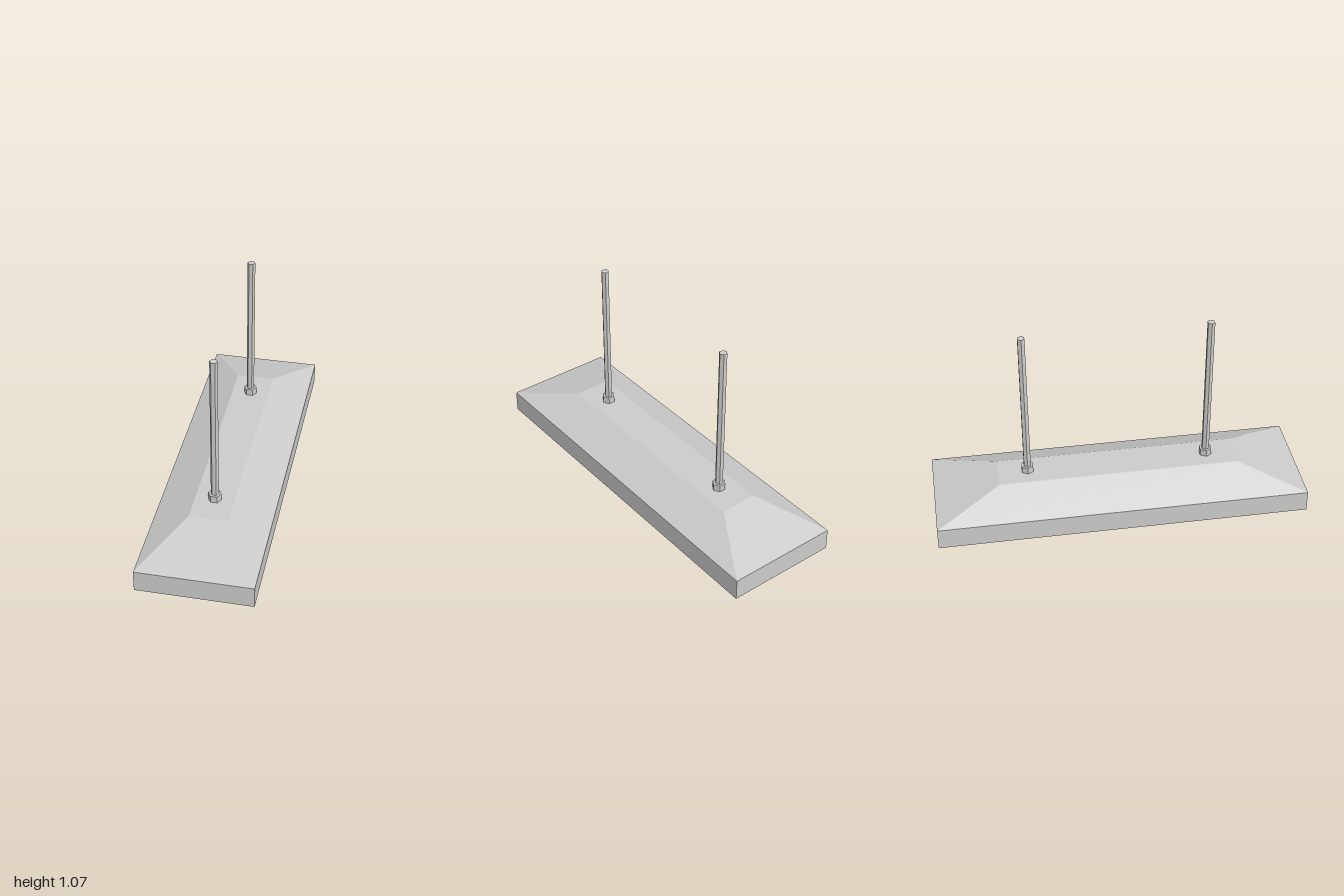
import * as THREE from 'three';

const grey = new THREE.MeshStandardMaterial({ color: 0xcccccc, flatShading: true });

// Solid footing: rectangular rings stacked upward, closed at both ends
function footingGeometry() {
  const rings = [[0.305, 0, 1], [0.305, 0.119, 1], [0.102, 0.222, 0.65]]; // half width, height, half length
  const positions = [];
  const index = [0, 2, 1, 0, 3, 2];
  for (const [x, y, z] of rings) positions.push(-x, y, z, x, y, z, x, y, -z, -x, y, -z);
  for (let r = 0; r < rings.length - 1; r++) {
    for (let i = 0; i < 4; i++) {
      const a = r * 4 + i, b = r * 4 + (i + 1) % 4;
      index.push(a, b, b + 4, a, b + 4, a + 4);
    }
  }
  const t = (rings.length - 1) * 4;
  index.push(t, t + 1, t + 2, t, t + 2, t + 3);
  const geometry = new THREE.BufferGeometry();
  geometry.setAttribute('position', new THREE.Float32BufferAttribute(positions, 3));
  geometry.setIndex(index);
  const flat = geometry.toNonIndexed();
  flat.computeVertexNormals();
  return flat;
}

// Upright hexagonal prism with corners pointing along x
function hexPrism(name, radius, bottom, top) {
  const geometry = new THREE.CylinderGeometry(radius, radius, top - bottom, 6);
  geometry.rotateY(Math.PI / 6);
  geometry.translate(0, (top + bottom) / 2, 0);
  const mesh = new THREE.Mesh(geometry, grey);
  mesh.name = name;
  return mesh;
}

export function createModel() {
  const model = new THREE.Group();
  model.name = 'footingWithAnchorRods';

  const footing = new THREE.Mesh(footingGeometry(), grey);
  footing.name = 'footing';
  model.add(footing);

  // Threaded rod and nut at each end
  for (const side of [1, -1]) {
    const anchor = new THREE.Group();
    anchor.name = side > 0 ? 'frontAnchor' : 'backAnchor';
    anchor.add(hexPrism('nut', 0.035, 0.222, 0.26), hexPrism('rod', 0.021, 0.222, 1.07));
    anchor.position.z = side * 0.49;
    model.add(anchor);
  }
  return model;
}
